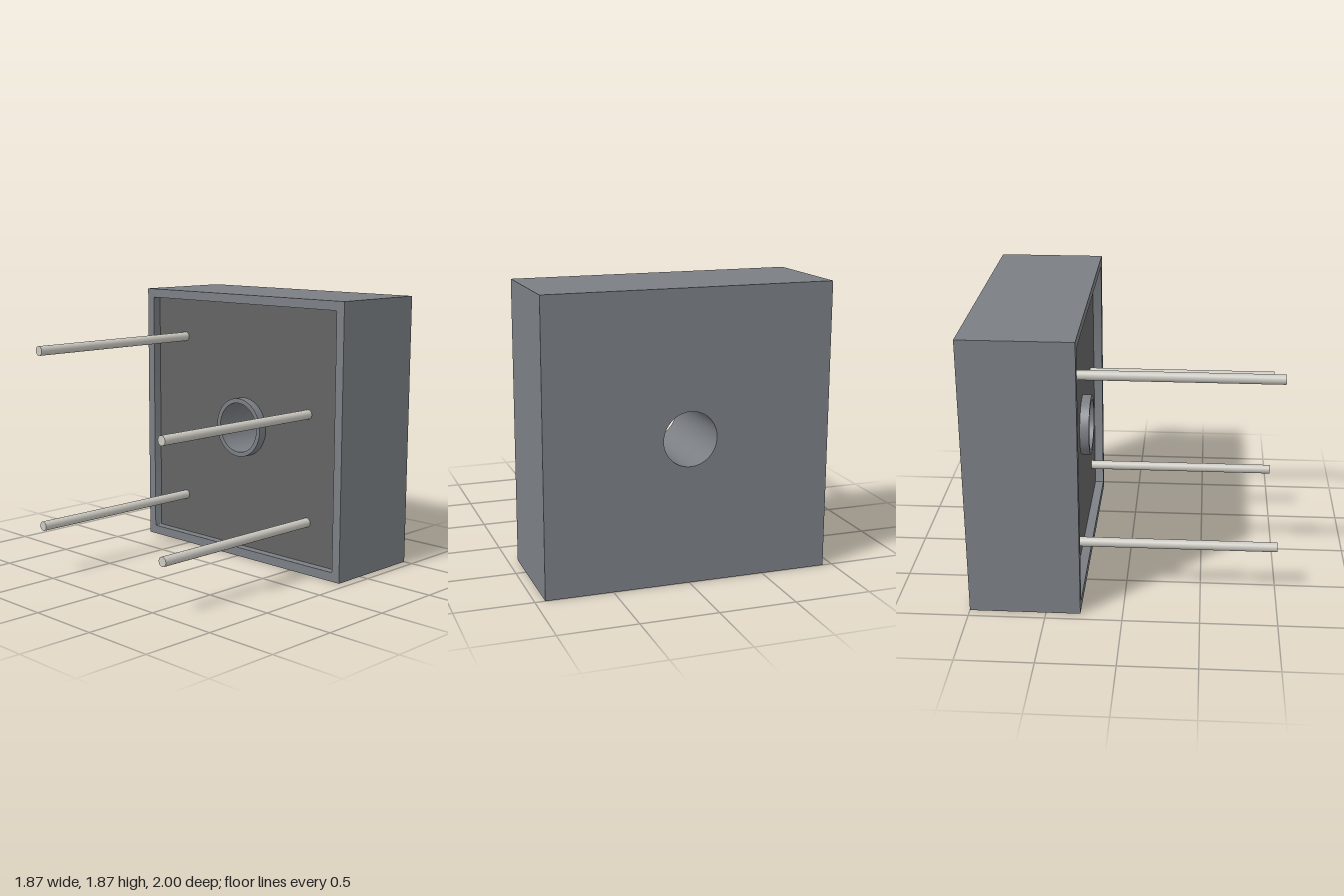
import * as THREE from 'three';
import { toCreasedNormals } from 'three/addons/utils/BufferGeometryUtils.js';

const HALF = 0.935, INNER = 0.873;           // half widths of case and recess
const BACK = -1, FRONT = -0.275;             // case extent in z
const STEP = -0.36, FILL = -0.337;           // back block front, filling surface
const HOLE = 0.175, BOSS = 0.207;            // mounting hole and collar radii

const caseMaterial = new THREE.MeshStandardMaterial({ color: 0x7b7f84 });
const fillMaterial = new THREE.MeshStandardMaterial({ color: 0x636363 });
const pinMaterial = new THREE.MeshStandardMaterial({ color: 0xcbc9c1 });

// Square outline with optional corner radius
function square(h, r = 0) {
  const s = new THREE.Shape();
  if (r === 0) {
    return s.moveTo(-h, -h).lineTo(h, -h).lineTo(h, h).lineTo(-h, h).closePath();
  }
  const c = h - r;
  s.absarc(c, -c, r, -Math.PI / 2, 0);
  s.absarc(c, c, r, 0, Math.PI / 2);
  s.absarc(-c, c, r, Math.PI / 2, Math.PI);
  s.absarc(-c, -c, r, Math.PI, Math.PI * 1.5);
  return s.closePath();
}

const circle = (r) => new THREE.Shape().absarc(0, 0, r, 0, Math.PI * 2);

// Extrude an outline with one hole between two z planes
function plate(name, outline, hole, z0, z1, material) {
  outline.holes.push(hole);
  const geometry = new THREE.ExtrudeGeometry(outline, {
    depth: z1 - z0, bevelEnabled: false, curveSegments: 32,
  });
  const mesh = new THREE.Mesh(toCreasedNormals(geometry, 0.6), material);
  mesh.name = name;
  mesh.position.set(0, HALF, z0);
  return mesh;
}

export function createModel() {
  const model = new THREE.Group();
  model.name = 'squareComponent';

  // Case: drilled block, raised rim and collar around the hole
  const body = new THREE.Group();
  body.name = 'case';
  body.add(
    plate('caseBlock', square(HALF), circle(HOLE), BACK, STEP, caseMaterial),
    plate('caseRim', square(HALF), square(INNER, 0.012), STEP, FRONT, caseMaterial),
    plate('holeCollar', circle(BOSS), circle(HOLE), STEP, FRONT, caseMaterial),
  );
  model.add(body);

  // Dark filling set back behind the rim
  model.add(plate('filling', square(INNER, 0.012), circle(BOSS), STEP, FILL, fillMaterial));

  // Four round pins, one of them offset
  const length = 1 - STEP;
  const pinGeometry = new THREE.CylinderGeometry(0.032, 0.032, length, 32).rotateX(Math.PI / 2);
  const pins = new THREE.Group();
  pins.name = 'pins';
  [[-0.593, 1.532], [-0.593, 0.345], [0.593, 1.093], [0.593, 0.345]].forEach(([x, y], i) => {
    const pin = new THREE.Mesh(pinGeometry, pinMaterial);
    pin.name = `pin${i + 1}`;
    pin.position.set(x, y, 1 - length / 2);
    pins.add(pin);
  });
  model.add(pins);

  return model;
}
